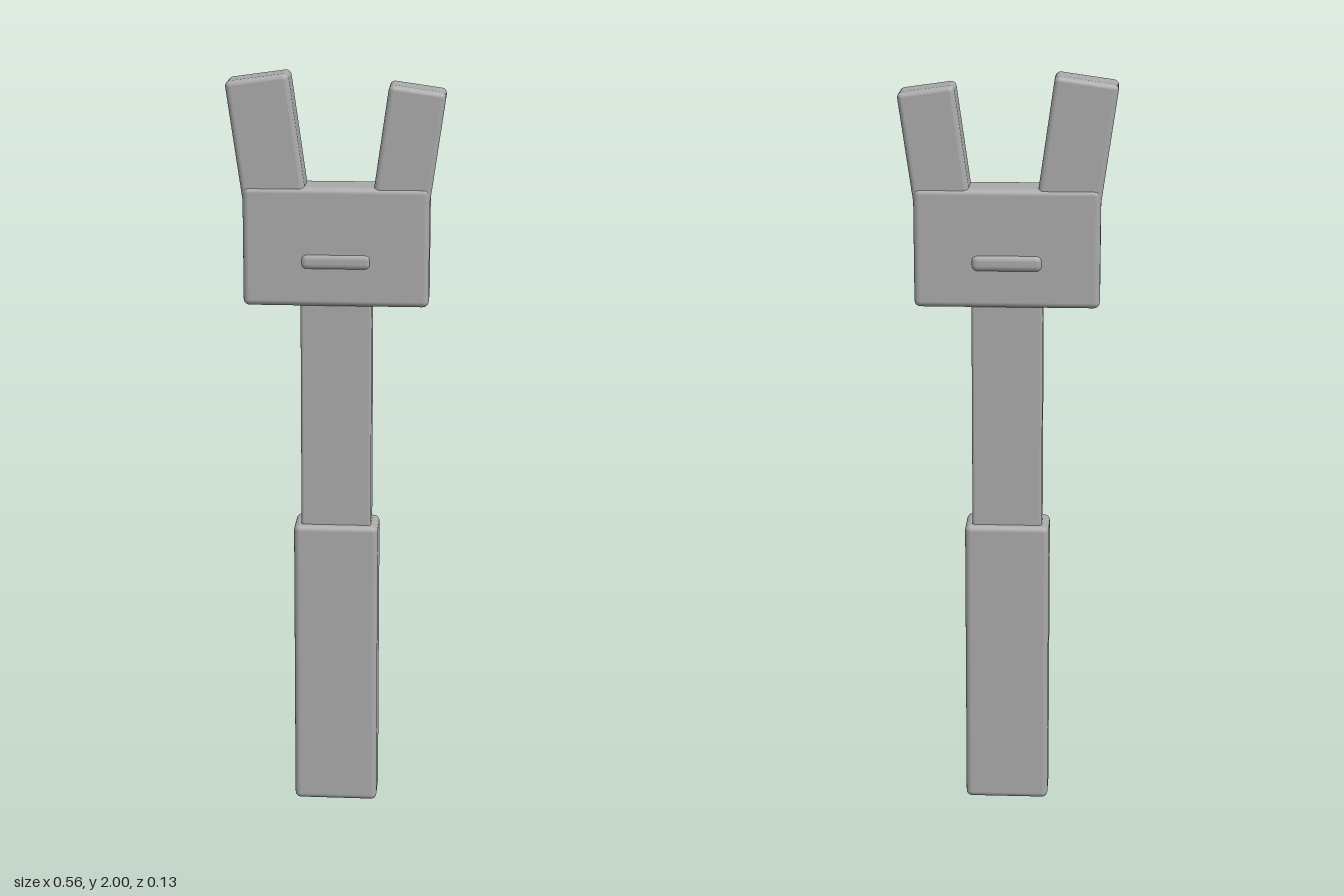
import * as THREE from 'three';
import { RoundedBoxGeometry } from 'three/addons/geometries/RoundedBoxGeometry.js';

export function createModel() {
  const model = new THREE.Group();
  model.name = 'forkedTool';
  const grey = new THREE.MeshStandardMaterial({ color: 0xaaaaaa });
  grey.name = 'plain grey';

  // Softly bevelled block: size, centre, bevel radius and tilt about z
  function block(name, [w, h, d], [x, y, z], radius, tilt = 0) {
    const mesh = new THREE.Mesh(new RoundedBoxGeometry(w, h, d, 3, radius), grey);
    mesh.name = name;
    mesh.position.set(x, y, z);
    mesh.rotation.z = tilt;
    model.add(mesh);
  }

  // Grip and slimmer shaft
  block('grip', [0.225, 0.8, 0.12], [0, 0.4, 0], 0.016);
  block('shaft', [0.186, 0.76, 0.088], [0, 1.1, 0], 0.008);

  // Head with a small ridge showing on both faces
  block('head', [0.482, 0.312, 0.117], [0, 1.557, -0.001], 0.016);
  block('ridge', [0.19, 0.05, 0.129], [0, 1.52, -0.002], 0.02);

  // Two splayed prongs, the right one wider and taller
  block('rightProng', [0.164, 0.4, 0.108], [-0.175, 1.793, -0.001], 0.014, 0.14);
  block('leftProng', [0.147, 0.4, 0.108], [0.18, 1.768, -0.001], 0.014, -0.14);

  return model;
}
